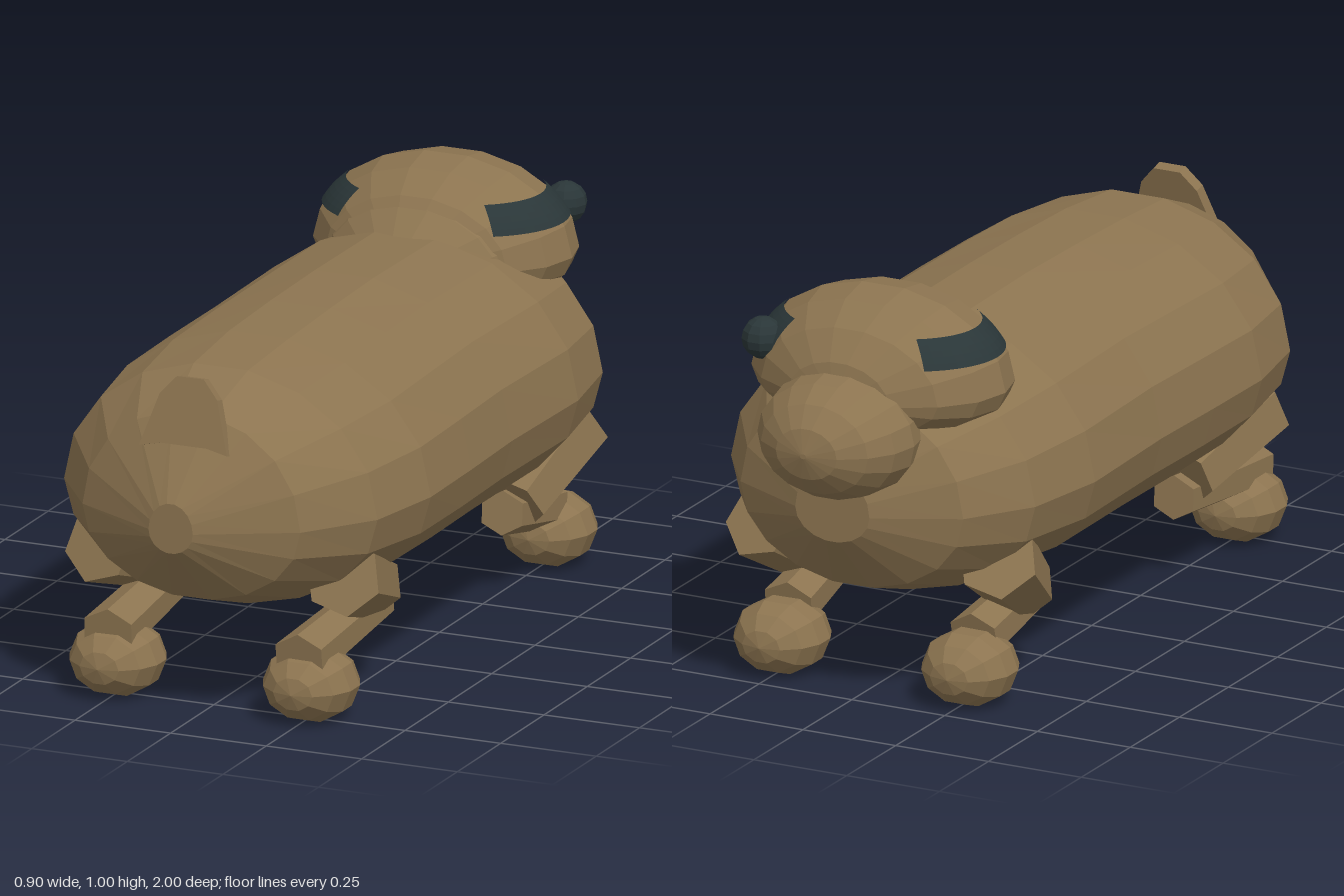
import * as THREE from 'three';

const SIDES = 18;

export function createModel() {
  const model = new THREE.Group();
  const fur = new THREE.MeshStandardMaterial({ name: 'brownFur', color: 0x8c7450 });
  const dark = new THREE.MeshStandardMaterial({ name: 'darkMarking', color: 0x2a3638 });
  fur.flatShading = true;
  dark.flatShading = true;

  function add(name, geometry, material = fur) {
    const mesh = new THREE.Mesh(geometry, material);
    mesh.name = name;
    model.add(mesh);
    return mesh;
  }

  // Skin over oval rings running from +z to -z: [z, half width, top y, bottom y], widest at midY
  function loft(rings, midY) {
    const pos = [], index = [], n = SIDES;
    for (const [z, rx, top, bottom] of rings) {
      for (let j = 0; j < n; j++) {
        const a = (j / n) * Math.PI * 2, s = Math.sin(a);
        pos.push(rx * Math.cos(a), midY + s * (s > 0 ? top - midY : midY - bottom), z);
      }
    }
    const last = (rings.length - 1) * n, c0 = last + n;
    pos.push(0, midY, rings[0][0], 0, midY, rings[rings.length - 1][0]);
    for (let j = 0; j < n; j++) {
      const k = (j + 1) % n;
      for (let r = 0; r < last; r += n) {
        index.push(r + j, r + n + j, r + k, r + k, r + n + j, r + n + k);
      }
      index.push(c0, j, k, c0 + 1, last + k, last + j);
    }
    const g = new THREE.BufferGeometry();
    g.setAttribute('position', new THREE.Float32BufferAttribute(pos, 3));
    g.setIndex(index);
    g.computeVertexNormals();
    return g;
  }

  // Rings of an egg shape whose upper and lower heights differ
  function eggRings(z, rx, rz, midY, up, down, steps) {
    const rings = [];
    for (let i = 0; i <= steps; i++) {
      const t = 0.04 + (i / steps) * (Math.PI - 0.08), s = Math.sin(t);
      rings.push([z + rz * Math.cos(t), rx * s, midY + up * s, midY - down * s]);
    }
    return rings;
  }

  // Faceted limb between two points
  function limb(name, from, to, r1, r2, flat = 1) {
    const a = new THREE.Vector3(...from), b = new THREE.Vector3(...to);
    const dir = b.clone().sub(a);
    const g = new THREE.CylinderGeometry(r2, r1, dir.length(), 6);
    g.scale(1, 1, flat);
    const mesh = add(name, g);
    mesh.position.copy(a).add(b).multiplyScalar(0.5);
    mesh.quaternion.setFromUnitVectors(new THREE.Vector3(0, 1, 0), dir.normalize());
  }

  // Barrel body
  add('body', loft([
    [1.0, 0.058, 0.575, 0.45], [0.88, 0.285, 0.77, 0.305], [0.71, 0.41, 0.84, 0.25],
    [0.49, 0.45, 0.858, 0.23], [0.25, 0.447, 0.866, 0.222], [0, 0.44, 0.87, 0.22],
    [-0.36, 0.45, 0.866, 0.225], [-0.59, 0.41, 0.835, 0.24], [-0.75, 0.3, 0.77, 0.29],
    [-0.85, 0.1, 0.61, 0.43],
  ], 0.505));

  // Neck, head and snout
  add('neck', loft(eggRings(-0.55, 0.28, 0.25, 0.77, 0.185, 0.15, 7), 0.77));
  add('head', loft(eggRings(-0.59, 0.33, 0.25, 0.78, 0.223, 0.13, 8), 0.78));
  add('snout', loft(eggRings(-0.81, 0.2, 0.19, 0.69, 0.157, 0.153, 8), 0.69));

  // Dark curved stripe on each side of the head
  for (const [name, centre] of [['leftEyeStripe', Math.PI], ['rightEyeStripe', 0]]) {
    const g = new THREE.SphereGeometry(1, 16, 5, centre - 0.85, 1.7, 0.84, 0.34);
    g.scale(0.333, 0.226, 0.253);
    add(name, g, dark).position.set(0, 0.78, -0.59);
  }

  // Single round eye
  add('leftEye', new THREE.SphereGeometry(0.052, 10, 8), dark).position.set(0.25, 0.87, -0.73);

  // Short upright tail plate, leaning forward
  const tail = new THREE.Shape([
    [-0.115, 0], [-0.06, 0.012], [0.06, 0.012], [0.115, 0],
    [0.075, 0.13], [0.035, 0.175], [-0.035, 0.175], [-0.075, 0.13],
  ].map(([x, y]) => new THREE.Vector2(x, y)));
  const tailMesh = add('tail', new THREE.ExtrudeGeometry(tail, { depth: 0.03, bevelEnabled: false }));
  tailMesh.position.set(0, 0.68, 0.9);
  tailMesh.rotation.x = -0.25;

  // Four folded legs with ball feet
  for (const s of [1, -1]) {
    const side = s > 0 ? 'left' : 'right';
    limb(side + 'RearThigh', [0.32 * s, 0.35, 0.71], [0.27 * s, 0.25, 0.44], 0.095, 0.08);
    limb(side + 'RearShin', [0.26 * s, 0.205, 0.4], [0.25 * s, 0.165, 0.81], 0.06, 0.07, 0.9);
    limb(side + 'FrontThigh', [0.32 * s, 0.365, -0.61], [0.27 * s, 0.22, -0.39], 0.1, 0.08);
    limb(side + 'FrontShin', [0.26 * s, 0.205, -0.34], [0.25 * s, 0.155, -0.6], 0.06, 0.07, 0.9);
    for (const [name, z] of [['RearFoot', 0.745], ['FrontFoot', -0.625]]) {
      const g = new THREE.SphereGeometry(1, 10, 7);
      g.rotateX(Math.PI / 2);
      g.scale(0.118, 0.094, 0.122);
      add(side + name, g).position.set(0.253 * s, 0.09, z);
    }
  }

  return model;
}
